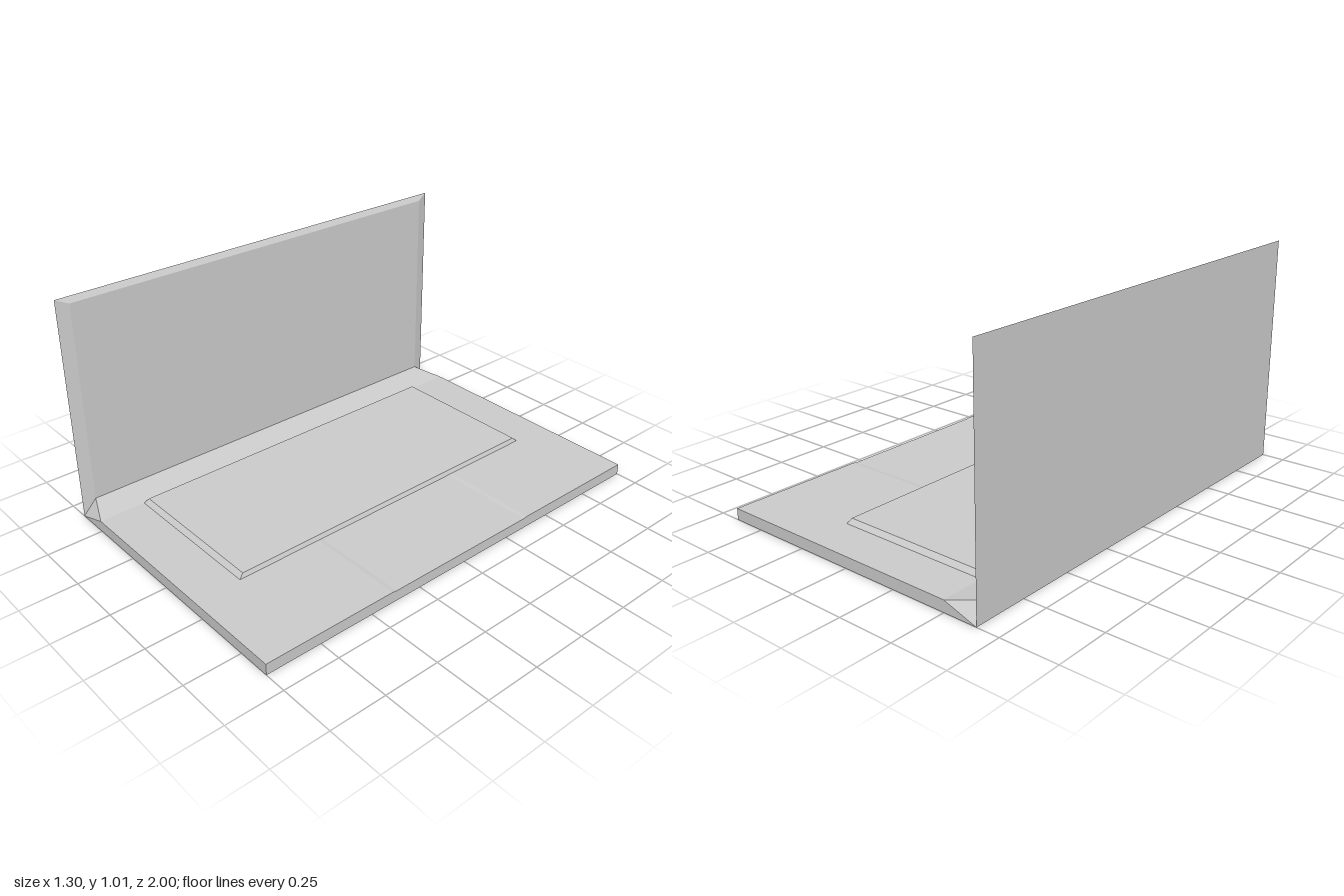
import * as THREE from 'three';
import { ConvexGeometry } from 'three/addons/geometries/ConvexGeometry.js';

const material = new THREE.MeshStandardMaterial({ color: 0xcccccc });

function addPart(group, name, geometry) {
  const mesh = new THREE.Mesh(geometry, material);
  mesh.name = name;
  group.add(mesh);
  return mesh;
}

// Convex solid from corner points [x, y, halfDepth], each mirrored to both ends in z
function mirroredSolid(corners) {
  const points = corners.flatMap(([x, y, z]) => [
    new THREE.Vector3(x, y, z),
    new THREE.Vector3(x, y, -z),
  ]);
  return new ConvexGeometry(points);
}

export function createModel() {
  const group = new THREE.Group();
  group.name = 'laptop';

  // Upright screen with bevelled rim
  addPart(group, 'screen', mirroredSolid([
    [-0.65, 0, 1], [-0.65, 1.01, 1],
    [-0.635, 0.985, 0.945], [-0.635, 0.075, 0.945],
  ]));

  // Sloped hinge wedge joining screen and base, with cut corners
  addPart(group, 'hinge', mirroredSolid([
    [-0.65, 0, 1], [-0.5, 0, 1], [-0.5, 0.05, 1], [-0.635, 0.075, 0.945],
  ]));

  // Flat slab under the keyboard
  addPart(group, 'baseRear', new THREE.BoxGeometry(0.7, 0.05, 2)).position.set(-0.15, 0.025, 0);

  // Palm rest: cross-section with a shallow trackpad recess, swept along x
  const section = new THREE.Shape([
    [-1, 0], [1, 0], [1, 0.05], [0.375, 0.05], [0.355, 0.047],
    [-0.375, 0.047], [-0.395, 0.05], [-1, 0.05],
  ].map(([u, v]) => new THREE.Vector2(u, v)));
  const palmRest = new THREE.ExtrudeGeometry(section, { depth: 0.45, bevelEnabled: false });
  palmRest.rotateY(Math.PI / 2);
  addPart(group, 'palmRest', palmRest).position.x = 0.2;

  // Raised keyboard panel with sloped sides
  addPart(group, 'keyboard', mirroredSolid([
    [-0.5, 0.05, 0.8], [0.203, 0.05, 0.8],
    [-0.49, 0.069, 0.78], [0.195, 0.069, 0.78],
  ])).position.z = -0.01;

  return group;
}
